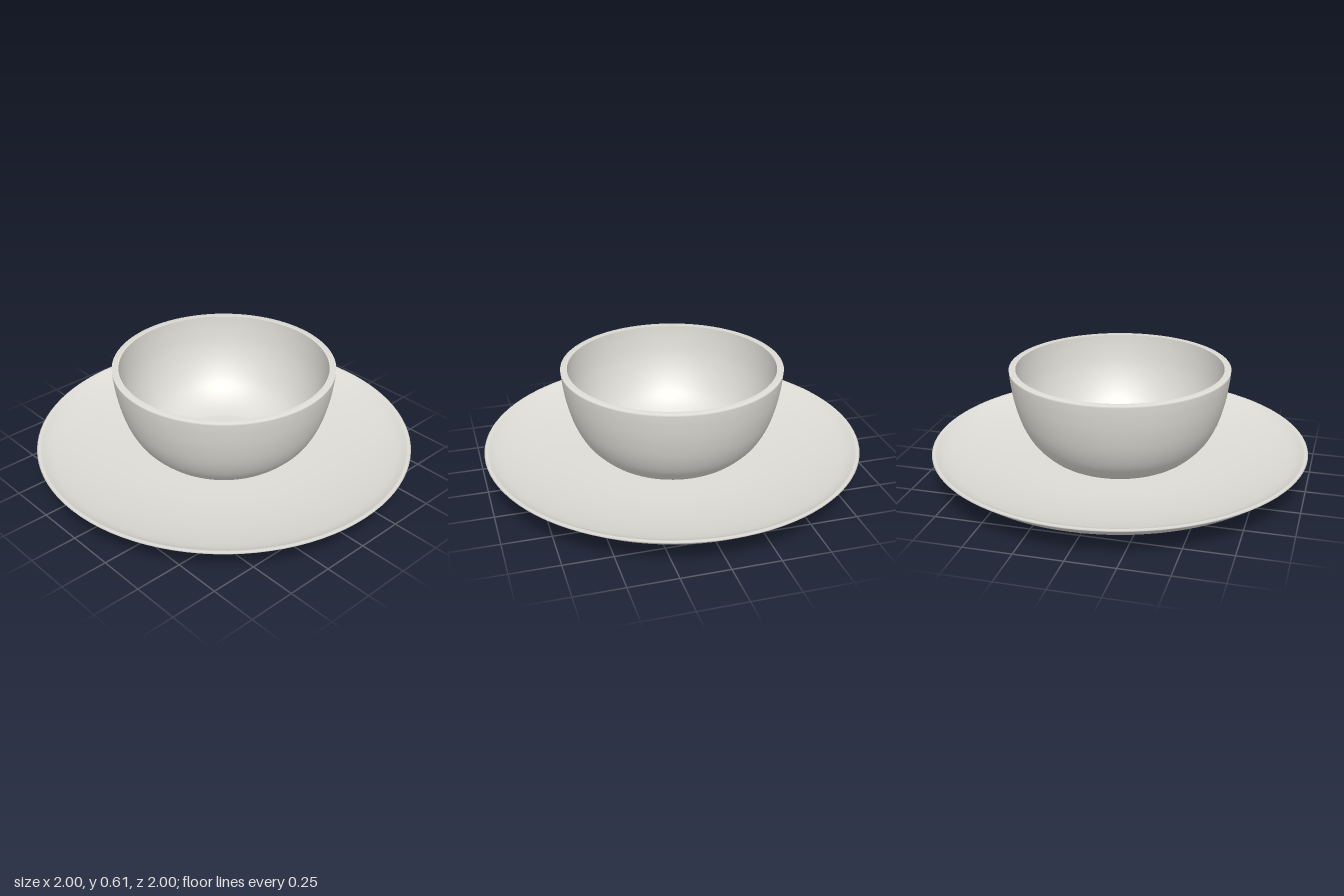
import * as THREE from 'three';

const SEGMENTS = 96;

// Revolve a profile of [radius, height] points, listed so faces point outward
function revolve(name, points, material) {
  const profile = points.map(([r, y]) => new THREE.Vector2(r, y));
  const mesh = new THREE.Mesh(new THREE.LatheGeometry(profile, SEGMENTS), material);
  mesh.name = name;
  return mesh;
}

// Smooth a few profile points into a fine curve
function smooth(points, count) {
  const curve = new THREE.SplineCurve(points.map(([r, y]) => new THREE.Vector2(r, y)));
  return curve.getPoints(count).map((p) => [p.x, p.y]);
}

export function createModel() {
  const group = new THREE.Group();
  group.name = 'bowlAndSaucer';
  const ceramic = new THREE.MeshStandardMaterial({ color: 0xdedcd6 });
  ceramic.name = 'warm white ceramic';

  // Saucer: flat foot, stepped underside, thin lip and shallow dished top
  const saucer = new THREE.Group();
  saucer.name = 'saucer';
  saucer.add(revolve('saucerFoot', [[0, 0], [0.55, 0]], ceramic));
  saucer.add(revolve('saucerUnderside',
    [[0.55, 0], [0.6, 0.04], [0.92, 0.11], [0.995, 0.165], [1, 0.172], [0.993, 0.177], [0.98, 0.174]], ceramic));
  saucer.add(revolve('saucerTop',
    smooth([[0.98, 0.174], [0.92, 0.148], [0.78, 0.115], [0.6, 0.09], [0.4, 0.08], [0, 0.08]], 30), ceramic));

  // Bowl: curved wall with a rim rounded to the outside, and a flat-floored inside
  const bowl = new THREE.Group();
  bowl.name = 'bowl';
  const wall = smooth([[0.28, 0.085], [0.37, 0.13], [0.43, 0.18], [0.48, 0.24],
    [0.525, 0.33], [0.557, 0.44], [0.574, 0.54], [0.58, 0.605]], 28);
  bowl.add(revolve('bowlOutside', [[0, 0.085], ...wall, [0.545, 0.605]], ceramic));
  const inside = smooth([[0.545, 0.605], [0.54, 0.54], [0.524, 0.44], [0.492, 0.34],
    [0.445, 0.25], [0.39, 0.19], [0.32, 0.145], [0.25, 0.125]], 28);
  bowl.add(revolve('bowlInside', [...inside, [0, 0.125]], ceramic));

  group.add(saucer, bowl);
  return group;
}
